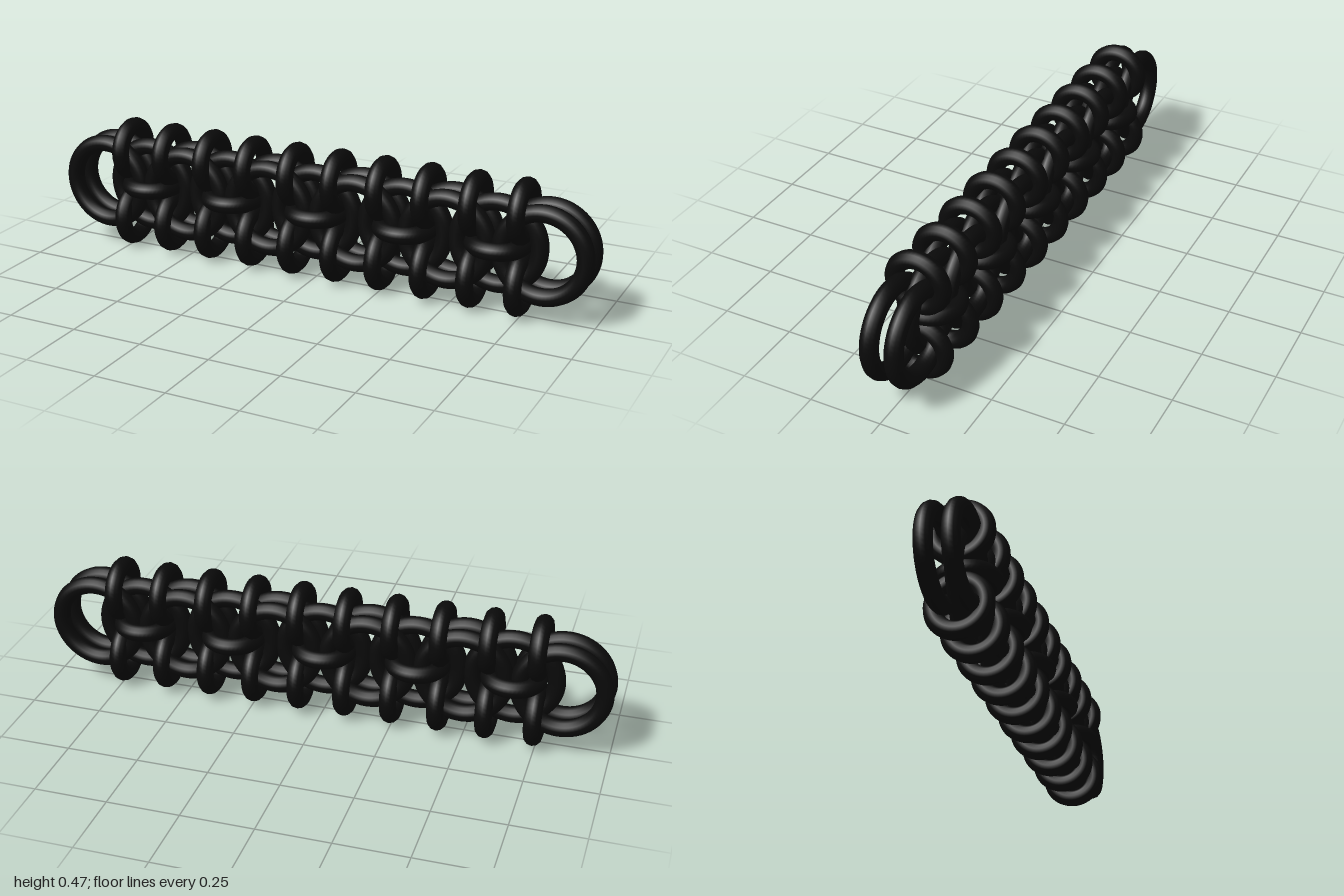
import * as THREE from 'three';

// Chain-weave strap: large flat rings (double, single, double...) bound by small rings
export function createModel() {
  const group = new THREE.Group();
  group.name = 'chainStrap';
  const material = new THREE.MeshStandardMaterial({ color: 0x0a0a0a });

  const wire = 0.03;      // wire radius
  const pitch = 0.165;    // spacing of neighbouring large rings
  const midY = 0.2375;    // height of the strap's centre line
  const largeRing = new THREE.TorusGeometry(0.143, wire, 12, 64);
  const smallRing = new THREE.TorusGeometry(0.083, wire, 12, 48);

  function addRing(name, geometry, x, y, z, rx = 0, ry = 0) {
    const ring = new THREE.Mesh(geometry, material);
    ring.name = name;
    ring.position.set(x, y, z);
    ring.rotation.set(rx, ry, 0);
    group.add(ring);
  }

  for (let k = -5; k <= 5; k++) {
    const x = k * pitch;
    if (k % 2 !== 0) {
      // front and back pair of large rings
      for (const s of [-1, 1]) addRing('pairedLargeRing', largeRing, x, midY, s * 0.0425);
    } else {
      // single large ring between the pairs, with a level ring binding its middle
      addRing('middleLargeRing', largeRing, x, midY, 0);
      addRing('levelBindingRing', smallRing, x, midY, 0, Math.PI / 2, 0);
    }
    // upright small rings around the upper and lower crossings
    if (k < 5) {
      for (const s of [-1, 1]) {
        addRing('uprightBindingRing', smallRing, x + pitch / 2, midY + s * 0.1245, 0, 0, Math.PI / 2);
      }
    }
  }
  return group;
}
